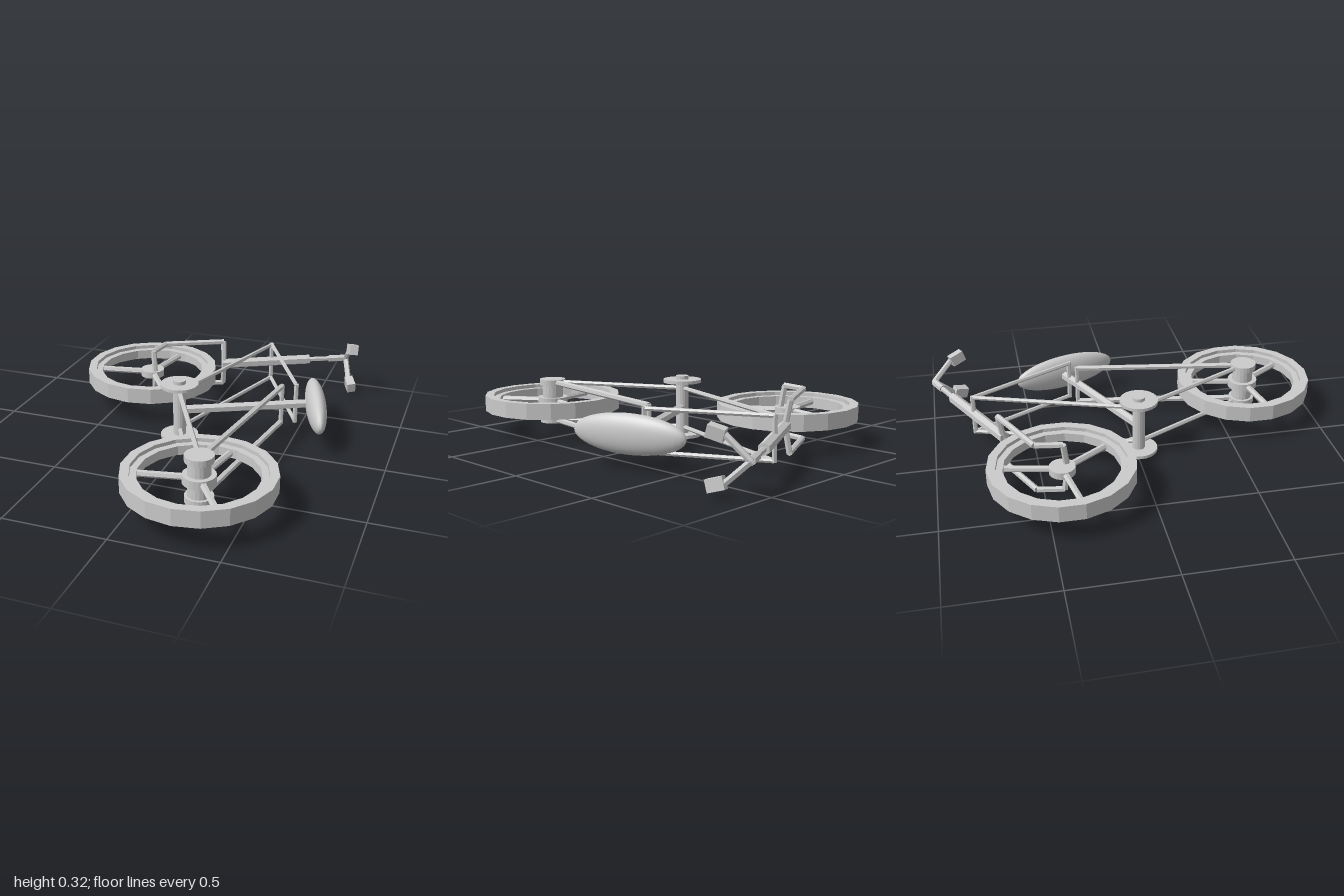
import * as THREE from 'three';

const MID = 0.163; // height of the bicycle's centre plane, as it lies on its side
const material = new THREE.MeshStandardMaterial({ color: 0xcccccc, flatShading: true });
const smooth = new THREE.MeshStandardMaterial({ color: 0xcccccc });

export function createModel() {
  const model = new THREE.Group();
  model.name = 'bicycle';
  const V = (x, y, z) => new THREE.Vector3(x, MID + y, z);
  const UP = new THREE.Vector3(0, 1, 0);

  function add(name, geometry, position, mat = material) {
    const mesh = new THREE.Mesh(geometry, mat);
    mesh.name = name;
    mesh.position.copy(position);
    model.add(mesh);
    return mesh;
  }
  // Straight tube between two points
  function tube(name, a, b, r, sides = 6) {
    const d = b.clone().sub(a);
    const mesh = add(name, new THREE.CylinderGeometry(r, r, d.length(), sides),
      a.clone().add(b).multiplyScalar(0.5));
    mesh.quaternion.setFromUnitVectors(UP, d.normalize());
    return mesh;
  }
  // Upright disc whose middle is dy above the centre plane
  const disc = (name, x, z, r, height, dy = 0, sides = 24) =>
    add(name, new THREE.CylinderGeometry(r, r, height, sides), V(x, dy, z));

  // Wheels: wide tyre, narrower rim and three spokes
  function wheel(name, x, z) {
    const profile = [[0.307, -0.04], [0.35, -0.04], [0.35, 0.04], [0.307, 0.04],
      [0.307, 0.022], [0.275, 0.022], [0.275, -0.022], [0.307, -0.022], [0.307, -0.04]]
      .map(([r, y]) => new THREE.Vector2(r, y));
    add(name + 'Rim', new THREE.LatheGeometry(profile, 18), V(x, 0, z));
    for (const degrees of [-78, 56, 169]) {
      const t = THREE.MathUtils.degToRad(degrees);
      tube(name + 'Spoke', V(x, 0, z),
        V(x + 0.285 * Math.cos(t), 0, z + 0.285 * Math.sin(t)), 0.016);
    }
  }
  const front = [-0.355, -0.415], rear = [0.285, 0.645], crank = [-0.04, 0.01];
  wheel('frontWheel', ...front);
  wheel('rearWheel', ...rear);

  // Hubs and crank
  disc('frontHub', ...front, 0.063, 0.035);
  disc('rearHub', ...rear, 0.053, 0.22, 0, 18);
  disc('rearHubDisc', ...rear, 0.077, 0.04);
  disc('crankAxle', ...crank, 0.032, 0.325, 0, 16);

  // Seat post and saddle
  tube('seatPost', V(-0.04, 0, 0.01), V(0.57, 0, -0.295), 0.024);
  const saddle = add('saddle', new THREE.SphereGeometry(1, 32, 20), V(0.592, 0, -0.275), smooth);
  saddle.scale.set(0.05, 0.093, 0.282);
  saddle.rotation.y = Math.atan2(0.17, 0.54);

  // Steering column and stem
  tube('headTube', V(-0.03, 0, -0.655), V(0.415, 0, -0.888), 0.028);
  tube('stem', V(0.4, 0, -0.88), V(0.61, 0, -0.982), 0.014);
  tube('stemCollar', V(0.52, 0, -0.938), V(0.605, 0, -0.98), 0.02);

  // Cross members joining both sides of the frame
  for (const [x, z] of [[0.22, -0.79], [0.49, -0.265], [0.425, -0.23]])
    tube('frameCrossTube', V(x, -0.106, z), V(x, 0.106, z), 0.012);

  // Paired parts on both sides of the centre plane
  for (const s of [-1, 1]) {
    disc('chainring', ...crank, 0.095, 0.016, s * 0.137);
    disc('rearHubFlange', ...rear, 0.067, 0.03, s * 0.099);

    const y = s * 0.099;
    tube('downTube', V(0.22, y, -0.79), V(-0.04, y, 0.01), 0.011);
    tube('topTube', V(0.22, y, -0.79), V(0.49, y, -0.265), 0.011);
    tube('chainStay', V(-0.04, y, 0.01), V(0.285, y, 0.645), 0.012);
    tube('seatStay', V(0.425, y, -0.23), V(0.29, y, 0.645), 0.015);

    // Fork: axle, dropout, blade, crown
    const f = s * 0.123;
    const path = [V(-0.33, 0, -0.39), V(-0.342, f, -0.405), V(-0.322, f, -0.535),
      V(-0.03, f, -0.68), V(-0.02, 0, -0.66)];
    ['forkAxle', 'forkEnd', 'forkBlade', 'forkCrown'].forEach((name, i) =>
      tube(name, path[i], path[i + 1], 0.015));

    // Handlebar and square grip
    tube('handlebar', V(0.608, 0, -0.982), V(0.65, s * 0.098, -0.885), 0.015);
    const grip = add('grip', new THREE.BoxGeometry(0.045, 0.055, 0.075), V(0.664, s * 0.104, -0.852));
    grip.rotation.set(s * -0.3, Math.atan2(0.06, 0.13), 0);
  }
  return model;
}
